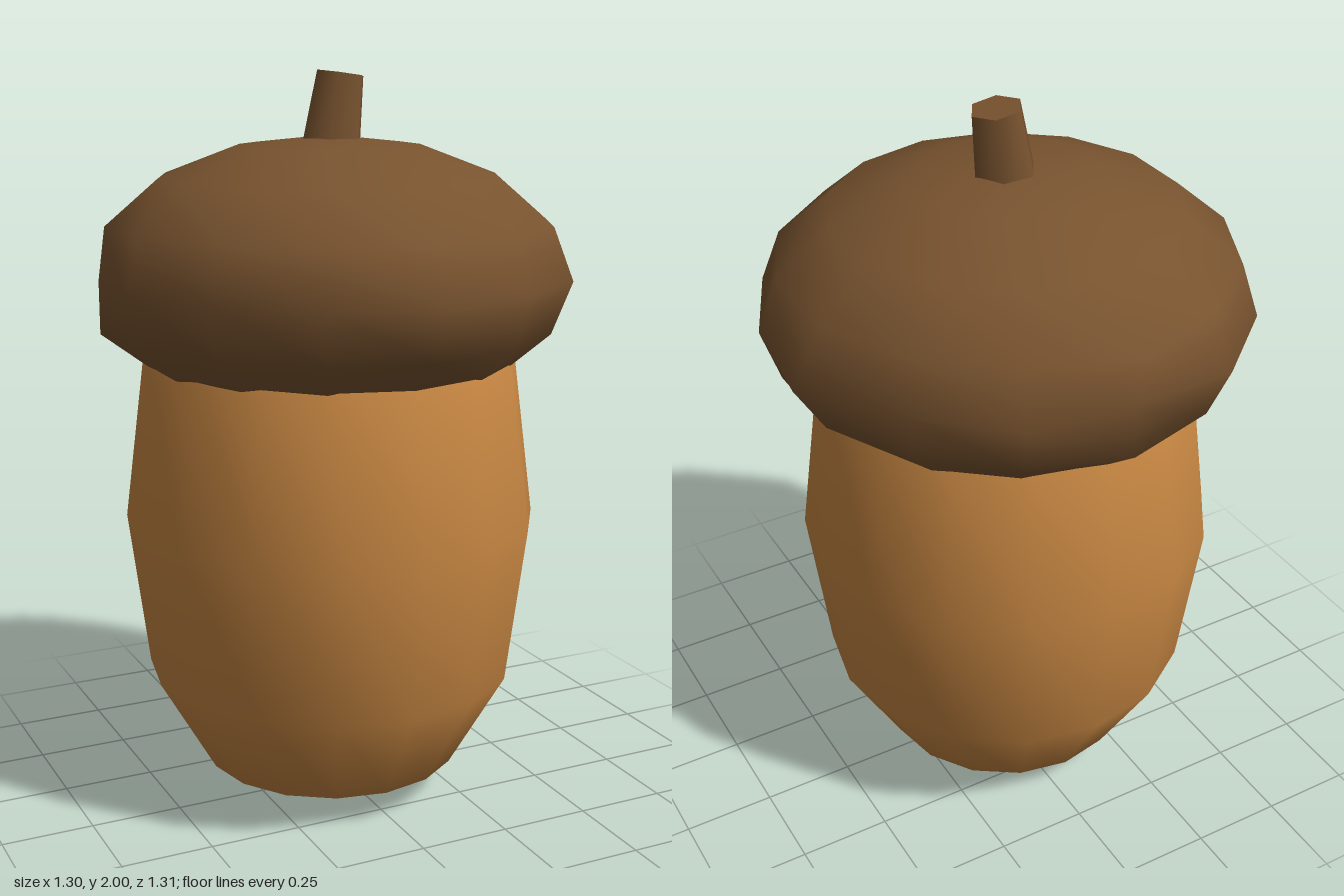
import * as THREE from 'three';
import { mergeVertices } from 'three/addons/utils/BufferGeometryUtils.js';

const nutBrown = new THREE.MeshStandardMaterial({ name: 'nut brown', color: 0xc68642 });
const capBrown = new THREE.MeshStandardMaterial({ name: 'cap brown', color: 0x78532f });

// Lathe from [radius, y] pairs, bottom to top; adjust(ring, side, radius) may reshape each vertex
function turned(profile, sides, adjust) {
  const lathe = new THREE.LatheGeometry(profile.map(([r, y]) => new THREE.Vector2(r, y)), sides);
  const pos = lathe.attributes.position;
  if (adjust) {
    for (let i = 0; i < pos.count; i++) {
      const ring = i % profile.length;
      const side = Math.floor(i / profile.length) % sides;
      const radius = profile[ring][0];
      if (radius < 0.001) continue;
      const scale = adjust(ring, side, radius) / radius;
      pos.setXYZ(i, pos.getX(i) * scale, pos.getY(i), pos.getZ(i) * scale);
    }
  }
  lathe.deleteAttribute('uv');
  lathe.deleteAttribute('normal');
  const welded = mergeVertices(lathe, 1e-4);
  welded.computeVertexNormals();
  return welded;
}

function part(name, geometry, material, x, y, z) {
  const mesh = new THREE.Mesh(geometry, material);
  mesh.name = name;
  mesh.position.set(x, y, z);
  return mesh;
}

export function createModel() {
  const acorn = new THREE.Group();
  acorn.name = 'acorn';

  // Nut: tall rounded body whose top is hidden in the cap
  const nutProfile = [[0, 0], [0.355, 0.09], [0.51, 0.36], [0.565, 0.79], [0.51, 1.22], [0.355, 1.49], [0, 1.58]];
  acorn.add(part('nut', turned(nutProfile, 16), nutBrown, -0.025, 0, -0.025));

  // Cap: squashed sphere with an uneven rim
  const rings = 8;
  const capProfile = [];
  for (let i = 0; i <= rings; i++) {
    const a = (i / rings) * Math.PI;
    capProfile.push([i % rings ? 0.65 * Math.sin(a) : 0, -0.37 * Math.cos(a)]);
  }
  const rim = [0.68, 0.64, 0.655, 0.65, 0.69, 0.62, 0.65, 0.62, 0.66, 0.647, 0.62, 0.64, 0.64, 0.63];
  const bumps = { '5,7': 0.635, '3,7': 0.615, '3,10': 0.62, '3,11': 0.615 };
  const capShape = turned(capProfile, rim.length, (ring, side, radius) => {
    if (ring === 4) return rim[side];
    return bumps[`${ring},${side}`] ?? radius;
  });
  acorn.add(part('cap', capShape, capBrown, -0.025, 1.46, -0.025));

  // Stem: short tapered hexagonal stub, leaning a little
  const stemShape = new THREE.CylinderGeometry(0.068, 0.094, 0.3, 6);
  stemShape.rotateY(Math.PI / 6);
  const stem = part('stem', stemShape, capBrown, -0.013, 1.84, -0.027);
  stem.rotation.z = -0.14;
  acorn.add(stem);

  return acorn;
}
